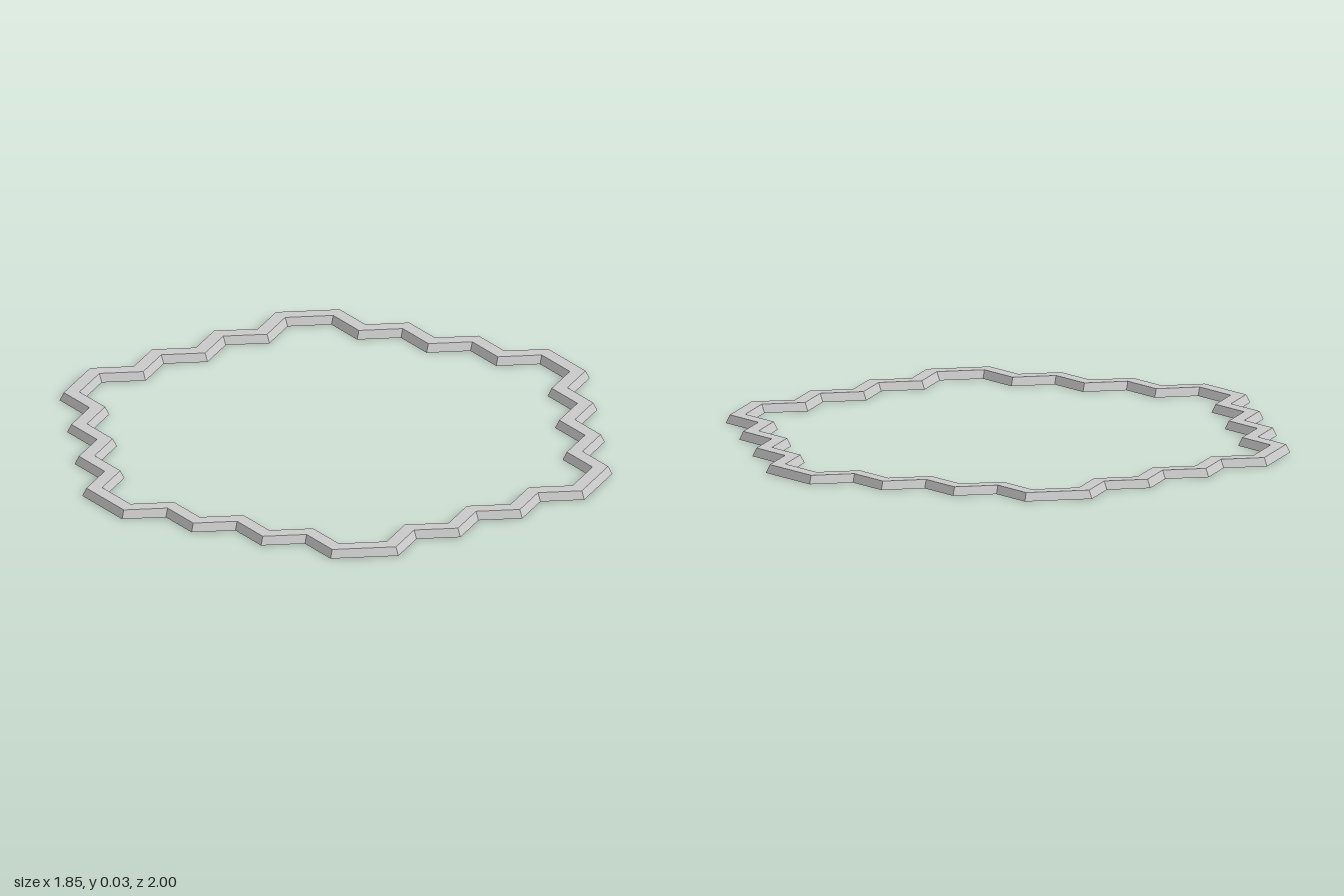
import * as THREE from 'three';

const SIDE = 0.153;    // length of one hexagonal cell edge
const WIDTH = 0.0725;  // border width at the base
const HEIGHT = 0.029;
const BEVEL = 0.0125;  // inward lean of both walls

// Edge path around a hexagonal board with four cells per side
function borderPath() {
  const turns = [1, -1, 1, -1, 1, -1, 1];
  const points = [];
  let x = -SIDE / 2, z = -3.5 * Math.sqrt(3) * SIDE, step = 0, before = -1;
  for (let i = 0; i < 42; i++) {
    const a = step * Math.PI / 3, b = before * Math.PI / 3;
    // mitre: sum of the outward normals of both adjoining edges
    points.push({
      x, z,
      mx: (Math.sin(a) + Math.sin(b)) / 1.5,
      mz: -(Math.cos(a) + Math.cos(b)) / 1.5,
    });
    x += Math.cos(a) * SIDE;
    z += Math.sin(a) * SIDE;
    before = step;
    step += turns[i % 7];
  }
  return points;
}

// Sweep a closed [offset, height] section along the path with mitred corners
function sweepBorder(path, section) {
  const positions = [];
  const corner = (i, j) => {
    const p = path[i % path.length], [offset, y] = section[j % section.length];
    return [p.x + p.mx * offset, y, p.z + p.mz * offset];
  };
  for (let i = 0; i < path.length; i++) {
    for (let j = 0; j < section.length; j++) {
      const a = corner(i, j), b = corner(i, j + 1);
      const c = corner(i + 1, j + 1), d = corner(i + 1, j);
      positions.push(...a, ...b, ...c, ...a, ...c, ...d);
    }
  }
  const geometry = new THREE.BufferGeometry();
  geometry.setAttribute('position', new THREE.Float32BufferAttribute(positions, 3));
  geometry.computeVertexNormals();
  return geometry;
}

export function createModel() {
  const model = new THREE.Group();
  model.name = 'hexagonalBoardFrame';

  // Trapezoid section: flat base and top, sloping inner and outer walls
  const section = [[0, 0], [WIDTH, 0], [WIDTH - BEVEL, HEIGHT], [BEVEL, HEIGHT]];
  const material = new THREE.MeshStandardMaterial({ color: 0xcccccc, flatShading: true });
  const border = new THREE.Mesh(sweepBorder(borderPath(), section), material);
  border.name = 'zigzagBorder';
  model.add(border);
  return model;
}
